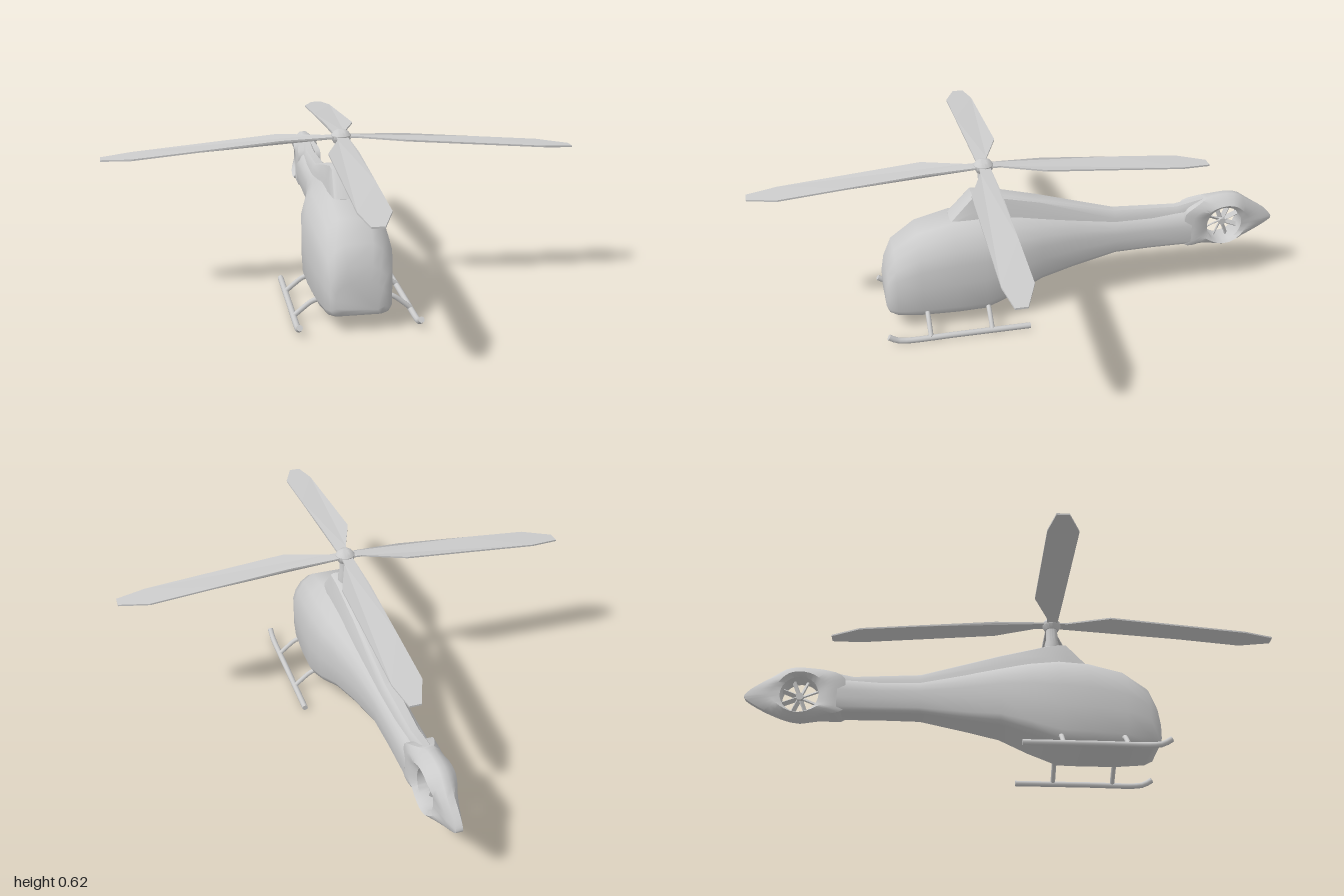
import * as THREE from 'three';
import { toCreasedNormals } from 'three/addons/utils/BufferGeometryUtils.js';

const grey = new THREE.MeshStandardMaterial({ color: 0xcccccc });
const greyThin = new THREE.MeshStandardMaterial({ color: 0xcccccc, side: THREE.DoubleSide });

// Skin a list of closed rings of [x, y, z]; either wrap round or cap both ends
function loft(rings, wrap, crease) {
  const n = rings[0].length, m = rings.length, pos = rings.flat(2), idx = [];
  for (let s = 0; s < (wrap ? m : m - 1); s++) {
    for (let i = 0; i < n; i++) {
      const j = (i + 1) % n, t = (s + 1) % m;
      const a = s * n + i, a2 = s * n + j, b = t * n + i, b2 = t * n + j;
      idx.push(a, b, a2, a2, b, b2);
    }
  }
  if (!wrap) {
    const last = (m - 1) * n;
    for (let i = 1; i < n - 1; i++) idx.push(0, i, i + 1, last, last + i + 1, last + i);
  }
  const g = new THREE.BufferGeometry();
  g.setAttribute('position', new THREE.Float32BufferAttribute(pos, 3));
  g.setIndex(idx);
  return toCreasedNormals(g, crease);
}

function add(parent, name, geometry, material = grey) {
  const mesh = new THREE.Mesh(geometry, material);
  mesh.name = name;
  parent.add(mesh);
  return mesh;
}

// Cabin and tail boom: one rounded section scaled along z
function fuselage() {
  const half = [[0.7, 0], [0.9, 0.035], [1, 0.12], [1, 0.4], [1, 0.62], [0.9, 0.77], [0.7, 0.91], [0.42, 1]];
  const section = [...half, ...half.slice().reverse().map(([x, y]) => [-x, y])];
  const stations = [ // z, half width, bottom, top
    [0.54, 0.085, 0.08, 0.18], [0.53, 0.102, 0.06, 0.235], [0.5, 0.117, 0.048, 0.305],
    [0.41, 0.135, 0.045, 0.367], [0.28, 0.144, 0.045, 0.398], [0.17, 0.145, 0.048, 0.405],
    [0.06, 0.134, 0.09, 0.395], [-0.05, 0.108, 0.135, 0.378], [-0.18, 0.079, 0.157, 0.355],
    [-0.35, 0.056, 0.187, 0.322], [-0.5, 0.053, 0.188, 0.318], [-0.655, 0.053, 0.186, 0.325]];
  return loft(stations.map(([z, w, b, t]) => section.map(([x, y]) => [x * w, b + y * (t - b), z])), false, 0.9);
}

// Engine cowling and the ridge running back along the boom
function cowling() {
  const stations = [ // z, bottom half width, bottom, top half width, top
    [0.285, 0.05, 0.37, 0.045, 0.398], [0.2, 0.064, 0.37, 0.042, 0.49], [0.14, 0.062, 0.37, 0.04, 0.487],
    [-0.05, 0.056, 0.35, 0.034, 0.44], [-0.35, 0.036, 0.3, 0.022, 0.355], [-0.6, 0.03, 0.3, 0.018, 0.342],
    [-0.68, 0.028, 0.31, 0.016, 0.358], [-0.76, 0.016, 0.335, 0.01, 0.372]];
  return loft(stations.map(([z, wb, b, wt, t]) => {
    const side = [[wb, b], [(wb + wt) / 2 + 0.002, (b + t) / 2], [wt, t - 0.006], [wt * 0.75, t]];
    return [...side, ...side.slice().reverse().map(([x, y]) => [-x, y])].map(([x, y]) => [x, y, z]);
  }), false, 0.6);
}

// Tail housing: a pointed ring round the fan duct
const FAN = { y: 0.255, z: -0.795, r: 0.071 };
function tailHousing() {
  const outline = [[-0.63, 0.25], [-0.63, 0.32], [-0.69, 0.355], [-0.75, 0.373], [-0.84, 0.372], [-0.9, 0.335],
    [-0.985, 0.275], [-1, 0.25], [-0.985, 0.235], [-0.9, 0.188], [-0.8, 0.157], [-0.7, 0.176], [-0.63, 0.19]];
  const curve = new THREE.CatmullRomCurve3(outline.map(([z, y]) => new THREE.Vector3(0, y, z)), true, 'centripetal');
  const rings = curve.getPoints(40).slice(0, 40).map((p) => {
    const a = Math.atan2(p.y - FAN.y, p.z - FAN.z);
    const rimZ = FAN.z + FAN.r * Math.cos(a), rimY = FAN.y + FAN.r * Math.sin(a);
    const edge = 0.012 + 0.036 * THREE.MathUtils.smoothstep(p.z, -0.76, -0.64);
    const shoulder = 0.052 - 0.022 * THREE.MathUtils.smoothstep(-p.z, 0.84, 1);
    const at = (k, x) => [x, rimY + (p.y - rimY) * k, rimZ + (p.z - rimZ) * k];
    const side = [[0, 0.036], [0.3, shoulder], [0.65, (shoulder + edge) / 2 + 0.004], [1, edge]];
    return [...side.map(([k, x]) => at(k, x)), ...side.slice().reverse().map(([k, x]) => at(k, -x))];
  });
  return loft(rings, true, 0.8);
}

function tailFan() {
  const fan = new THREE.Group();
  fan.name = 'tailFan';
  fan.position.set(0, FAN.y, FAN.z);
  add(fan, 'fanHub', new THREE.CylinderGeometry(0.014, 0.014, 0.036, 12).rotateZ(Math.PI / 2));
  for (let i = 0; i < 8; i++) {
    const blade = new THREE.BoxGeometry(0.018, 0.058, 0.005).rotateY(0.7).translate(0, 0.04, 0);
    add(fan, 'fanBlade', blade.rotateX((i + 0.5) * Math.PI / 4));
  }
  return fan;
}

// One main blade along +x, drooping towards the tip
function bladeGeometry() {
  const outline = [[0, -0.02], [0.22, -0.024], [0.5, -0.024], [0.74, -0.024], [0.85, 0.02],
    [0.85, 0.062], [0.74, 0.082], [0.5, 0.082], [0.22, 0.082], [0.06, 0.022], [0, 0.02]];
  const shape = new THREE.Shape(outline.map(([x, z]) => new THREE.Vector2(x, z)));
  const g = new THREE.ExtrudeGeometry(shape, { depth: 0.006, bevelEnabled: false }).rotateX(Math.PI / 2);
  const p = g.attributes.position;
  for (let i = 0; i < p.count; i++) {
    const r = p.getX(i);
    p.setY(i, p.getY(i) - 0.02 * r - 0.065 * Math.max(0, r - 0.2));
  }
  g.computeVertexNormals();
  return g;
}

function mainRotor() {
  const rotor = new THREE.Group();
  rotor.name = 'mainRotor';
  rotor.position.z = 0.15;
  const lathe = (pts) => toCreasedNormals(
    new THREE.LatheGeometry(pts.map(([r, y]) => new THREE.Vector2(r, y)), 16), 0.6);
  add(rotor, 'mast', lathe([[0.028, 0.47], [0.028, 0.505], [0.022, 0.53], [0.022, 0.59]]));
  add(rotor, 'rotorHub', lathe([[0, 0.568], [0.026, 0.568], [0.036, 0.585], [0.036, 0.597],
    [0.026, 0.61], [0.012, 0.617], [0, 0.617]]));
  for (let i = 0; i < 4; i++) {
    const blade = add(rotor, 'rotorBlade', bladeGeometry(), greyThin);
    blade.position.y = 0.595;
    blade.rotation.y = i * Math.PI / 2;
  }
  return rotor;
}

// A round bar along a path, with closed ends
function bar(parent, name, points, radius, segments) {
  const path = new THREE.CatmullRomCurve3(points.map((p) => new THREE.Vector3(...p)), false, 'centripetal');
  add(parent, name, new THREE.TubeGeometry(path, segments, radius, 10));
  for (const t of [0, 1]) {
    const end = add(parent, name + 'End', new THREE.CircleGeometry(radius, 10), greyThin);
    end.position.copy(path.getPoint(t));
    end.lookAt(path.getPoint(t).add(path.getTangent(t)));
  }
}

function landingGear(side) {
  const gear = new THREE.Group();
  gear.name = side > 0 ? 'leftLandingGear' : 'rightLandingGear';
  const x = 0.21 * side;
  bar(gear, 'skid', [[x, 0.012, 0.02], [x, 0.012, 0.3], [x, 0.012, 0.49], [x, 0.018, 0.52], [x, 0.036, 0.55]], 0.011, 24);
  for (const z of [0.395, 0.165]) {
    bar(gear, 'strut', [[0.11 * side, 0.076, z], [0.145 * side, 0.066, z], [0.178 * side, 0.042, z], [x, 0.015, z]], 0.009, 12);
  }
  return gear;
}

export function createModel() {
  const model = new THREE.Group();
  model.name = 'helicopter';
  add(model, 'fuselage', fuselage());
  add(model, 'engineCowling', cowling());
  add(model, 'tailHousing', tailHousing());
  model.add(tailFan(), mainRotor(), landingGear(1), landingGear(-1));
  return model;
}
